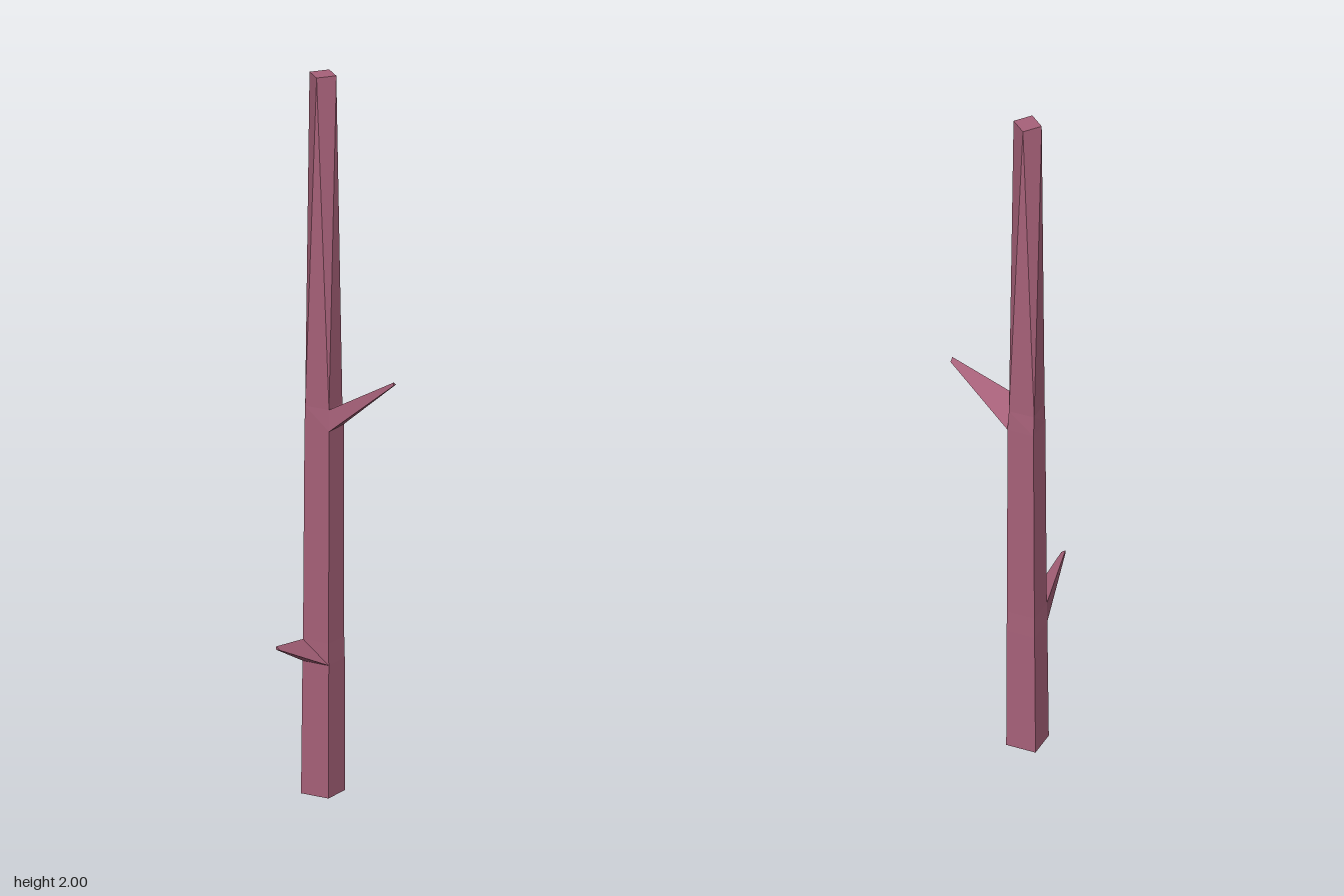
import * as THREE from 'three';

// Square cross-sections of the trunk: centre x/z, corner radius, turn in degrees
const RINGS = [
  { y: 0, x: -0.087, z: -0.093, r: 0.06, turn: 5 },
  { y: 0.37, x: -0.085, z: -0.0925, r: 0.0575, turn: 5 },
  { y: 0.43, x: -0.085, z: -0.0925, r: 0.056, turn: 5 },
  { y: 1.02, x: -0.0835, z: -0.093, r: 0.0535, turn: 5 },
  { y: 1.08, x: -0.0845, z: -0.0925, r: 0.051, turn: 7 },
  { y: 2, x: -0.0865, z: -0.0915, r: 0.0392, turn: 56 },
];

// Corners run front left, front right, back right, back left as seen from the front
function ringPoints({ y, x, z, r, turn }) {
  return [0, 1, 2, 3].map((i) => {
    const a = THREE.MathUtils.degToRad(-135 + turn + i * 90);
    return new THREE.Vector3(x + r * Math.sin(a + Math.PI / 2), y, z + r * Math.cos(a + Math.PI / 2));
  });
}

// Joins closed loops of points into a capped, faceted solid
function loft(loops) {
  const n = loops[0].length;
  const tris = [];
  for (let k = 0; k < loops.length - 1; k++) {
    const [lo, hi] = [loops[k], loops[k + 1]];
    for (let i = 0; i < n; i++) {
      const j = (i + 1) % n;
      tris.push(lo[i], lo[j], hi[i], hi[i], lo[j], hi[j]);
    }
  }
  const [first, last] = [loops[0], loops[loops.length - 1]];
  for (let i = 1; i < n - 1; i++) {
    tris.push(first[0], first[i + 1], first[i], last[0], last[i], last[i + 1]);
  }
  const geometry = new THREE.BufferGeometry().setFromPoints(tris);
  geometry.computeVertexNormals();
  return geometry;
}

export function createModel() {
  const group = new THREE.Group();
  group.name = 'bareTree';
  const bark = new THREE.MeshStandardMaterial({ color: 0xa8627a });
  bark.name = 'rosy bark';

  const add = (name, geometry) => {
    const mesh = new THREE.Mesh(geometry, bark);
    mesh.name = name;
    group.add(mesh);
  };

  // Trunk, twisting above the upper branch
  const rings = RINGS.map((ring) => {
    const pts = ringPoints(ring);
    // start the loop at the front left corner
    return [pts[3], pts[0], pts[1], pts[2]].sort(() => 0);
  });
  const start = rings[0].reduce((best, p, i, all) =>
    (p.z - p.x > all[best].z - all[best].x ? i : best), 0);
  const loops = rings.map((pts) => pts.map((_, i) => pts[(i + start) % 4]));
  add('trunk', loft(loops));

  // Branches: half of a trunk face drawn out to a small tip
  const branch = (name, ring, side, tip) => {
    const base = [loops[ring][side], loops[ring][side + 1], loops[ring + 1][side]];
    const centre = new THREE.Vector3();
    base.forEach((p) => centre.addScaledVector(p, 1 / 3));
    const end = base.map((p) => p.clone().sub(centre).multiplyScalar(0.15).add(tip));
    add(name, loft([base, end]));
  };
  branch('lowerBranch', 1, 0, new THREE.Vector3(-0.069, 0.463, 0.135));
  branch('upperBranch', 3, 1, new THREE.Vector3(0.131, 1.172, -0.114));

  return group;
}
